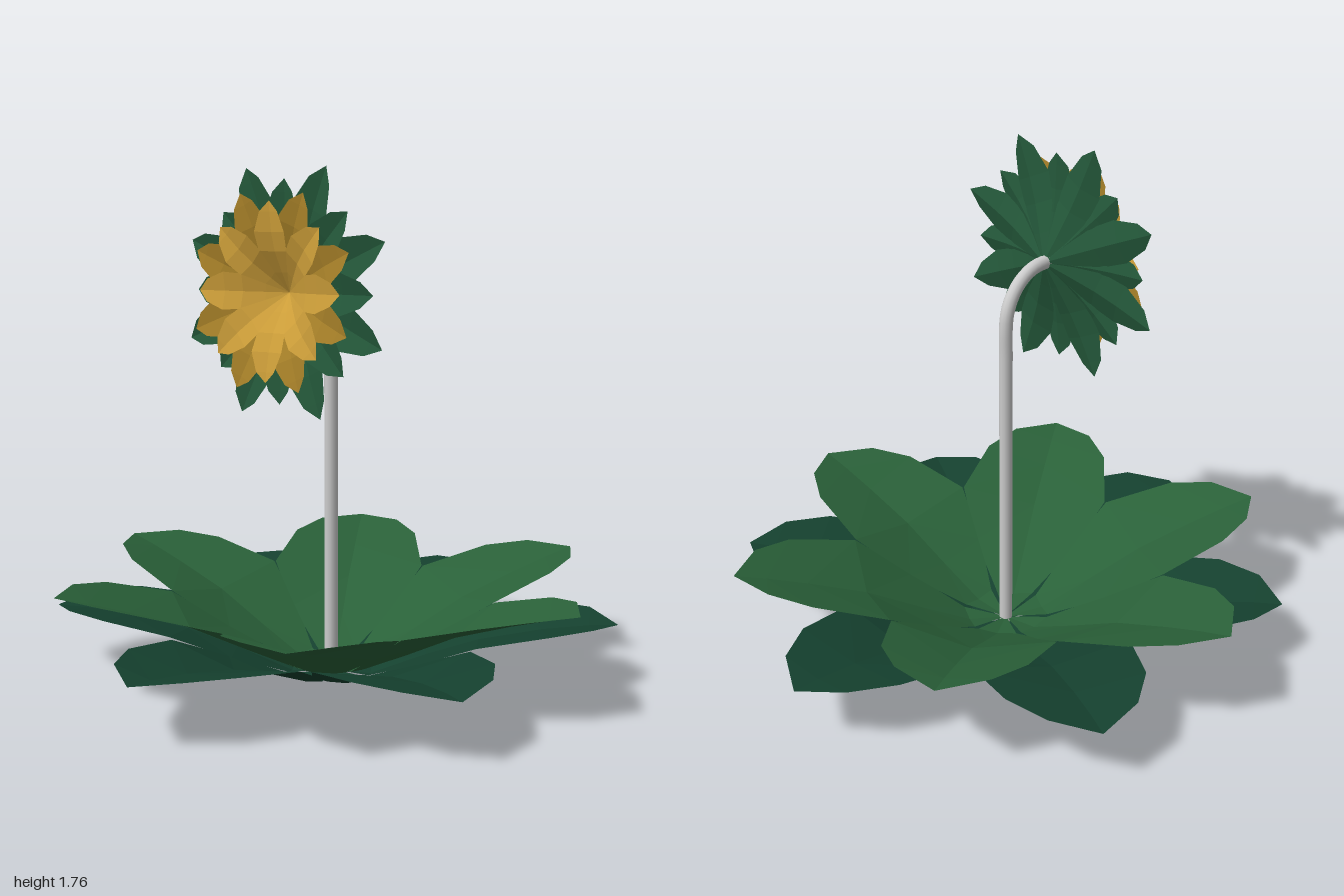
import * as THREE from 'three';

const mat = (color, extra = {}) => new THREE.MeshStandardMaterial({ color, ...extra });
const leafMat = (color) => mat(color, { flatShading: true, side: THREE.DoubleSide });

// Leaf along +x, folded at the midrib. Each row: [midX, midY, edgeX, edgeY, halfWidth]
function leafGeometry(rows) {
  const pos = [];
  for (const s of [1, -1]) {
    for (let i = 0; i < rows.length - 1; i++) {
      const [a, b] = [rows[i], rows[i + 1]];
      const m0 = [a[0], a[1], 0], m1 = [b[0], b[1], 0];
      const e0 = [a[2], a[3], s * a[4]], e1 = [b[2], b[3], s * b[4]];
      const tris = [];
      if (a[4] > 0) tris.push([m0, e0, m1]);
      if (b[4] > 0) tris.push([m1, a[4] > 0 ? e0 : m0, e1]);
      for (const [p, q, r] of tris) {
        // keep the upper side as the front face
        const up = (q[2] - p[2]) * (r[0] - p[0]) - (q[0] - p[0]) * (r[2] - p[2]);
        pos.push(...p, ...(up > 0 ? [...q, ...r] : [...r, ...q]));
      }
    }
  }
  const g = new THREE.BufferGeometry();
  g.setAttribute('position', new THREE.Float32BufferAttribute(pos, 3));
  g.computeVertexNormals();
  return g;
}

// Ring of equal leaves around the y axis
function whorl(name, count, offset, rows, color) {
  const group = new THREE.Group();
  group.name = name + 's';
  const geometry = leafGeometry(rows), material = leafMat(color);
  for (let i = 0; i < count; i++) {
    const leaf = new THREE.Mesh(geometry, material);
    leaf.name = name;
    leaf.rotation.y = offset + (i / count) * Math.PI * 2;
    group.add(leaf);
  }
  return group;
}

// Small petal: length, half width, base height, rim height and fold depth
function petalRows(len, width, y0, y1, fold) {
  const profile = [
    [0, 0, 0], [0.22, 0.36, 0.5], [0.45, 0.7, 0.92],
    [0.66, 0.88, 1], [0.88, 0.97, 0.6], [1, 1, 0],
  ];
  return profile.map(([t, h, w]) => {
    const y = y0 + (y1 - y0) * h;
    return [t * len, y, t * len, y + fold * w, w * width];
  });
}

export function createModel() {
  const model = new THREE.Group();
  model.name = 'flower';

  // Lower and upper rosettes of broad leaves
  model.add(whorl('lowerLeaf', 6, Math.PI / 6, [
    [0, 0.02, 0, 0.02, 0],
    [0.14, 0.01, 0.14, 0.025, 0.07],
    [0.34, 0.09, 0.32, 0.11, 0.2],
    [0.52, 0.15, 0.52, 0.2, 0.28],
    [0.74, 0.195, 0.76, 0.235, 0.24],
    [0.9, 0.215, 0.91, 0.24, 0.15],
    [1, 0.22, 1, 0.22, 0],
  ], 0x15412f));
  model.add(whorl('upperLeaf', 6, 0, [
    [0, 0.03, 0, 0.03, 0],
    [0.14, 0.045, 0.14, 0.055, 0.07],
    [0.32, 0.13, 0.31, 0.16, 0.19],
    [0.52, 0.23, 0.5, 0.285, 0.285],
    [0.73, 0.305, 0.75, 0.355, 0.24],
    [0.87, 0.35, 0.885, 0.38, 0.155],
    [0.98, 0.38, 0.98, 0.38, 0],
  ], 0x2a6139));

  // Stem: straight, then a quarter bend to the front
  const R = 0.185, top = 1.18;
  const points = [0.015, 0.4, 0.8, 1.08].map((y) => new THREE.Vector3(0, y, 0));
  for (let i = 0; i <= 6; i++) {
    const a = (i / 6) * Math.PI / 2;
    points.push(new THREE.Vector3(0, top + R * Math.sin(a), R * (1 - Math.cos(a))));
  }
  points.push(new THREE.Vector3(0, top + R, 0.21));
  const stem = new THREE.Mesh(
    new THREE.TubeGeometry(new THREE.CatmullRomCurve3(points), 60, 0.024, 12),
    mat(0xcccccc, { side: THREE.DoubleSide }));
  stem.name = 'stem';
  model.add(stem);

  // Flower head facing the front, tipped slightly upward
  const head = new THREE.Group();
  head.name = 'flowerHead';
  head.position.set(0, 1.365, 0.19);
  head.rotation.x = Math.PI / 2 - 0.04;
  const eighth = Math.PI / 8;
  head.add(
    whorl('longSepal', 8, eighth, petalRows(0.44, 0.075, 0, 0.07, 0.02), 0x24583a),
    whorl('shortSepal', 8, 0, petalRows(0.37, 0.07, 0.01, 0.075, 0.02), 0x24583a),
    whorl('outerPetal', 8, eighth, petalRows(0.345, 0.07, 0.025, 0.14, 0.012), 0xa98229),
    whorl('innerPetal', 8, 0, petalRows(0.295, 0.063, 0.035, 0.15, 0.012), 0xcfa03a));
  model.add(head);

  return model;
}
